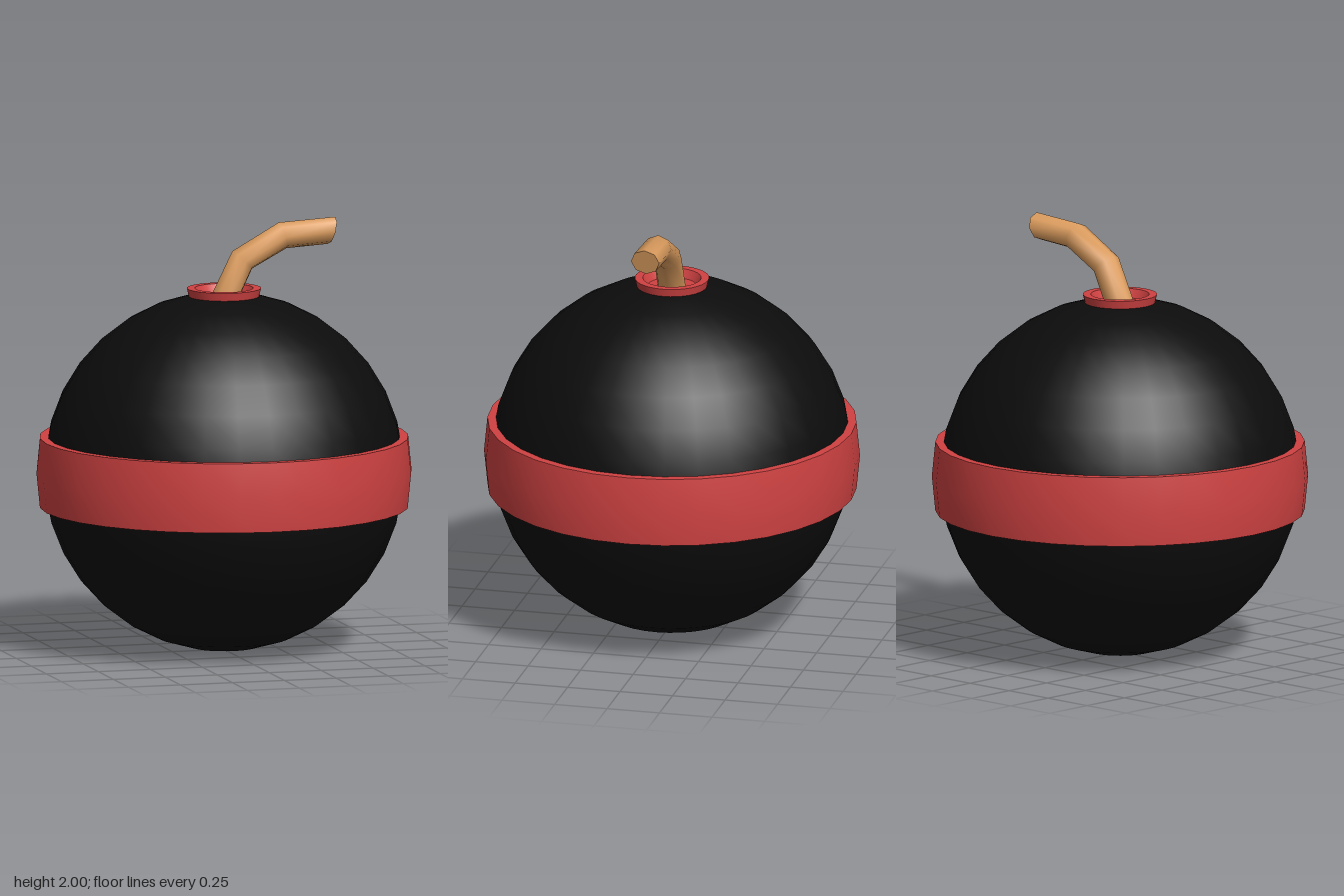
import * as THREE from 'three';
import { mergeGeometries } from 'three/addons/utils/BufferGeometryUtils.js';

const SIDES = 32, R = 0.834, CY = 0.834;

const material = (name, color) => {
  const m = new THREE.MeshStandardMaterial({ color });
  m.name = name;
  return m;
};

// Lathe made of separate smooth strips, so the edges between strips stay sharp
function lathe(strips) {
  return mergeGeometries(strips.map((pts) =>
    new THREE.LatheGeometry(pts.map(([r, y]) => new THREE.Vector2(r, y)), SIDES)));
}

// Mitred tube through rings, each given by its upper and lower point in the xy plane
function mitredTube(rings, zRadius, sides) {
  const pos = [], index = [];
  const addRing = ([ax, ay, bx, by]) => {
    for (let i = 0; i < sides; i++) {
      const a = (i / sides) * Math.PI * 2, c = Math.cos(a) / 2;
      pos.push((ax + bx) / 2 + (ax - bx) * c, (ay + by) / 2 + (ay - by) * c, Math.sin(a) * zRadius);
    }
  };
  rings.forEach(addRing);
  for (let k = 0; k < rings.length - 1; k++) {
    for (let i = 0; i < sides; i++) {
      const j = (i + 1) % sides;
      const a = k * sides + i, b = k * sides + j, c = a + sides, d = b + sides;
      index.push(a, b, c, b, d, c);
    }
  }
  // End cap with its own vertices for a sharp rim
  const start = pos.length / 3;
  addRing(rings[rings.length - 1]);
  for (let i = 1; i < sides - 1; i++) index.push(start, start + i, start + i + 1);
  const g = new THREE.BufferGeometry();
  g.setAttribute('position', new THREE.Float32BufferAttribute(pos, 3));
  g.setIndex(index);
  g.computeVertexNormals();
  return g;
}

export function createModel() {
  const group = new THREE.Group();
  const black = material('black shell', 0x0c0c0c);
  const red = material('red trim', 0xd04242);
  const tan = material('tan fuse', 0xdb9c5e);
  const add = (name, geometry, mat) => {
    const mesh = new THREE.Mesh(geometry, mat);
    mesh.name = name;
    group.add(mesh);
    return mesh;
  };

  // Round body, open at the top under the collar
  const step = Math.PI / 16;
  add('body', new THREE.SphereGeometry(R, SIDES, 16, 0, Math.PI * 2, step, Math.PI - step), black)
    .position.y = CY;

  // Raised band around the middle
  const lo = CY - 0.162, hi = CY + 0.162;
  add('band', lathe([
    [[0.81, lo], [0.854, lo]],
    [[0.854, lo], [0.87, CY], [0.854, hi]],
    [[0.854, hi], [0.81, hi]],
  ]), red);

  // Flared collar with a recessed floor
  add('collar', lathe([
    [[0.163, 1.652], [0.172, 1.69]],
    [[0.172, 1.69], [0.135, 1.69]],
    [[0.135, 1.69], [0.115, 1.65]],
    [[0.115, 1.65], [0, 1.65]],
  ]), red);

  // Bent fuse
  add('fuse', mitredTube([
    [-0.065, 1.65, 0.076, 1.65],
    [0.04, 1.86, 0.135, 1.775],
    [0.263, 1.985, 0.3, 1.863],
    [0.535, 2.0, 0.5, 1.875],
  ], 0.067, 8), tan);

  return group;
}
